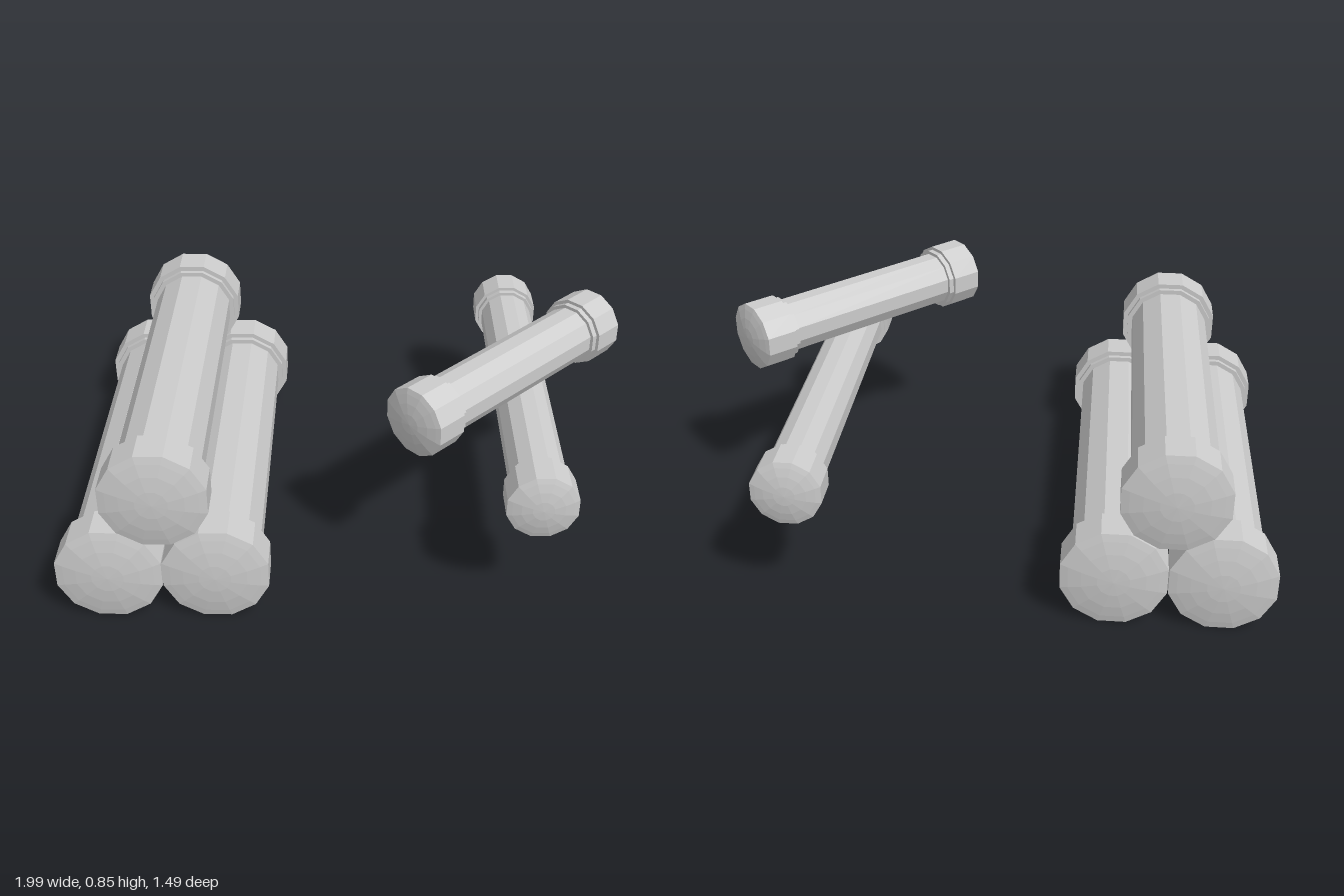
import * as THREE from 'three';

const SIDES = 12;
const material = new THREE.MeshStandardMaterial({ color: 0xcccccc, flatShading: true });

// Twelve-sided lathe lying along z, with flat faces at top, bottom and sides
function lathe(name, profile) {
  const points = profile.map(([r, y]) => new THREE.Vector2(r, y));
  const geometry = new THREE.LatheGeometry(points, SIDES, Math.PI / SIDES);
  geometry.rotateX(Math.PI / 2);
  const mesh = new THREE.Mesh(geometry, material);
  mesh.name = name;
  return mesh;
}

// A tube with a stepped, slightly domed cap at each end
function createTube(name, { capRadius, bodyRadius, half, capLength, step, dome }) {
  const group = new THREE.Group();
  group.name = name;
  const rim = half - dome;
  const inner = rim - capLength;
  const ringRadius = bodyRadius + (capRadius - bodyRadius) * 0.5;

  group.add(lathe('body', [[bodyRadius, -inner], [bodyRadius, inner]]));

  // Collar step, cap wall, then the shallow dome
  const profile = [
    [bodyRadius, inner - step],
    [ringRadius, inner - step],
    [ringRadius, inner],
    [capRadius, inner],
    [capRadius, rim],
  ];
  for (const t of [0.85, 0.6, 0.3, 0]) {
    profile.push([capRadius * t, rim + dome * (1 - t * t)]);
  }
  for (const end of ['front', 'back']) {
    const cap = lathe(end + 'Cap', profile);
    if (end === 'back') cap.rotation.y = Math.PI;
    group.add(cap);
  }
  return group;
}

export function createModel() {
  const model = new THREE.Group();
  model.name = 'tubes';

  // Stack of three thick tubes
  const thick = { capRadius: 0.189, bodyRadius: 0.153, half: 0.745, capLength: 0.12, step: 0.018, dome: 0.025 };
  const stack = [
    ['lowerRightTube', -0.818, 0.183],
    ['lowerLeftTube', -0.45, 0.183],
    ['upperTube', -0.642, 0.5],
  ];
  for (const [name, x, y] of stack) {
    const tube = createTube(name, thick);
    tube.position.set(x, y, 0);
    model.add(tube);
  }

  // Two thin tubes, the shorter one lying diagonally above the longer
  const thin = { capRadius: 0.125, bodyRadius: 0.101, capLength: 0.115, step: 0.02, dome: 0.022 };
  const longTube = createTube('longThinTube', { ...thin, half: 0.733 });
  longTube.position.set(0.654, 0.464, -0.012);
  const shortTube = createTube('shortThinTube', { ...thin, half: 0.503 });
  shortTube.position.set(0.563, 0.725, 0.242);
  shortTube.rotation.y = -Math.atan2(0.7, 0.688);
  model.add(longTube, shortTube);

  return model;
}
